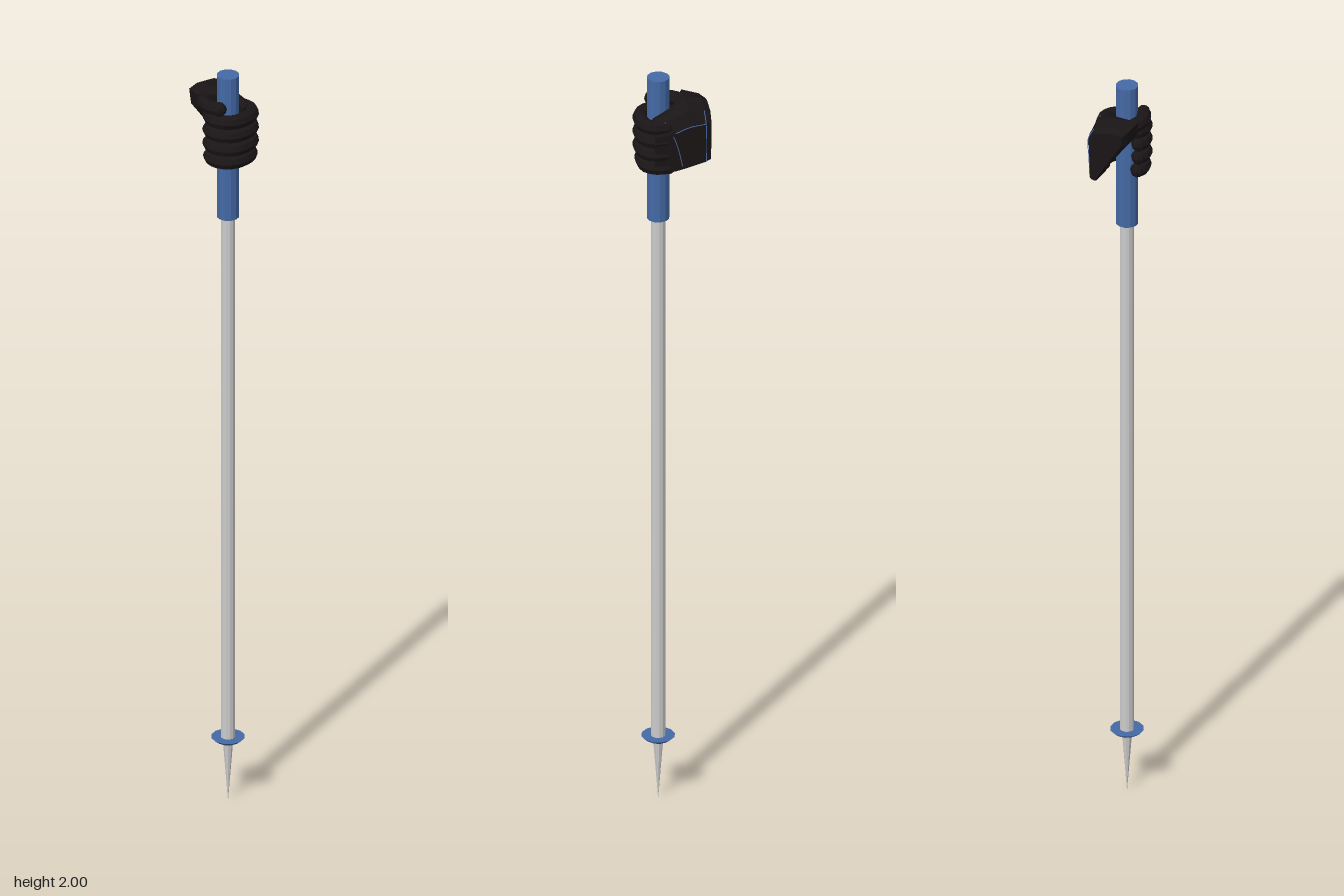
import * as THREE from 'three';

const PX = -0.007, PZ = 0.03; // pole axis
const mat = (color, side = THREE.FrontSide) => new THREE.MeshStandardMaterial({ color, flatShading: true, side });
const V = (p) => new THREE.Vector3(...p);

export function createModel() {
  const model = new THREE.Group();
  const grey = mat(0xcccccc), blue = mat(0x4469a5), black = mat(0x1a1516, THREE.DoubleSide);

  const add = (name, geometry, material, parent = model) => {
    const mesh = new THREE.Mesh(geometry, material);
    mesh.name = name;
    parent.add(mesh);
    return mesh;
  };
  // Upright round section of the pole between two heights
  const section = (name, rTop, rBottom, y0, y1, material, sides = 12) =>
    add(name, new THREE.CylinderGeometry(rTop, rBottom, y1 - y0, sides), material)
      .position.set(PX, (y0 + y1) / 2, PZ);

  section('grip', 0.028, 0.028, 1.61, 2, blue);
  section('shaft', 0.018, 0.018, 0.17, 1.61, grey);
  section('basket', 0.042, 0.03, 0.162, 0.172, blue);
  section('tip', 0.013, 0.0005, 0, 0.165, grey, 8);

  const glove = new THREE.Group();
  glove.name = 'glove';
  model.add(glove);

  // Rounded digit: tube along a curve with a ball at each end
  const digit = (name, pts, r) => {
    const g = new THREE.Group();
    g.name = name;
    glove.add(g);
    const curve = new THREE.CatmullRomCurve3(pts.map(V));
    add(name + 'Body', new THREE.TubeGeometry(curve, 14, r, 8), black, g);
    for (const t of [0, 1])
      add(name + 'End', new THREE.SphereGeometry(r, 8, 6), black, g).position.copy(curve.getPoint(t));
  };

  // Four fingers curling round the front of the grip
  for (let i = 0; i < 4; i++) {
    const y = 1.779 + i * 0.037, s = i === 0 ? 0.94 : 1;
    digit('finger' + (i + 1), [
      [0.05, y, 0.015], [0.052 * s, y, 0.045], [0.032, y, 0.07 * s], [-0.022, y, 0.072 * s],
      [-0.046 * s, y, 0.05], [-0.052 * s, y, 0.02], [-0.042 * s, y, 0.002],
    ], 0.0185);
  }
  digit('thumb', [
    [0.005, 1.915, -0.05], [-0.035, 1.918, -0.025], [-0.052, 1.92, 0.01], [-0.046, 1.922, 0.04],
  ], 0.018);

  // Back of the hand and wrist: (x, y) outlines lofted along z
  const rings = [
    [-0.09, [[0.048, 1.79], [0.058, 1.795], [0.062, 1.9], [0.048, 1.922], [0.005, 1.928], [-0.022, 1.922], [-0.018, 1.895], [0.025, 1.83]]],
    [-0.075, [[0.046, 1.783], [0.062, 1.79], [0.066, 1.9], [0.05, 1.93], [0.002, 1.936], [-0.034, 1.93], [-0.03, 1.89], [0.02, 1.825]]],
    [-0.035, [[0.044, 1.773], [0.064, 1.78], [0.069, 1.895], [0.052, 1.935], [0, 1.941], [-0.05, 1.936], [-0.045, 1.895], [0.018, 1.825]]],
    [0, [[0.04, 1.766], [0.065, 1.772], [0.07, 1.88], [0.056, 1.915], [0.038, 1.927], [0.015, 1.925], [0.015, 1.89], [0.02, 1.82]]],
    [0.05, [[0.038, 1.766], [0.062, 1.77], [0.069, 1.87], [0.056, 1.902], [0.042, 1.908], [0.024, 1.902], [0.024, 1.87], [0.026, 1.82]]],
  ];
  const n = 8, pos = [], index = [];
  for (const [z, ring] of rings) for (const [x, y] of ring) pos.push(x, y, z);
  for (let k = 0; k < rings.length - 1; k++)
    for (let i = 0; i < n; i++) {
      const a = k * n + i, b = k * n + (i + 1) % n;
      index.push(a, b, b + n, a, b + n, a + n);
    }
  const last = (rings.length - 1) * n;
  for (let i = 1; i < n - 1; i++) index.push(0, i + 1, i, last, last + i, last + i + 1);
  const palm = new THREE.BufferGeometry();
  palm.setAttribute('position', new THREE.Float32BufferAttribute(pos, 3));
  palm.setIndex(index);
  palm.computeVertexNormals();
  add('handAndWrist', palm, black, glove);

  // Thin coloured seams on the back of the hand
  const seam = (name, pts) =>
    add(name, new THREE.TubeGeometry(new THREE.CatmullRomCurve3(pts.map(V)), 16, 0.0012, 5), blue, glove);
  seam('knuckleSeam', [[0.058, 1.908, 0.025], [0.069, 1.87, 0.005], [0.068, 1.83, -0.008], [0.065, 1.785, -0.018]]);
  seam('cuffSeam', [[0.052, 1.928, -0.074], [0.066, 1.9, -0.076], [0.064, 1.845, -0.078], [0.062, 1.792, -0.078]]);
  seam('upperSeam', [[0.0665, 1.897, -0.075], [0.0695, 1.893, -0.035], [0.0705, 1.88, 0]]);

  return model;
}
